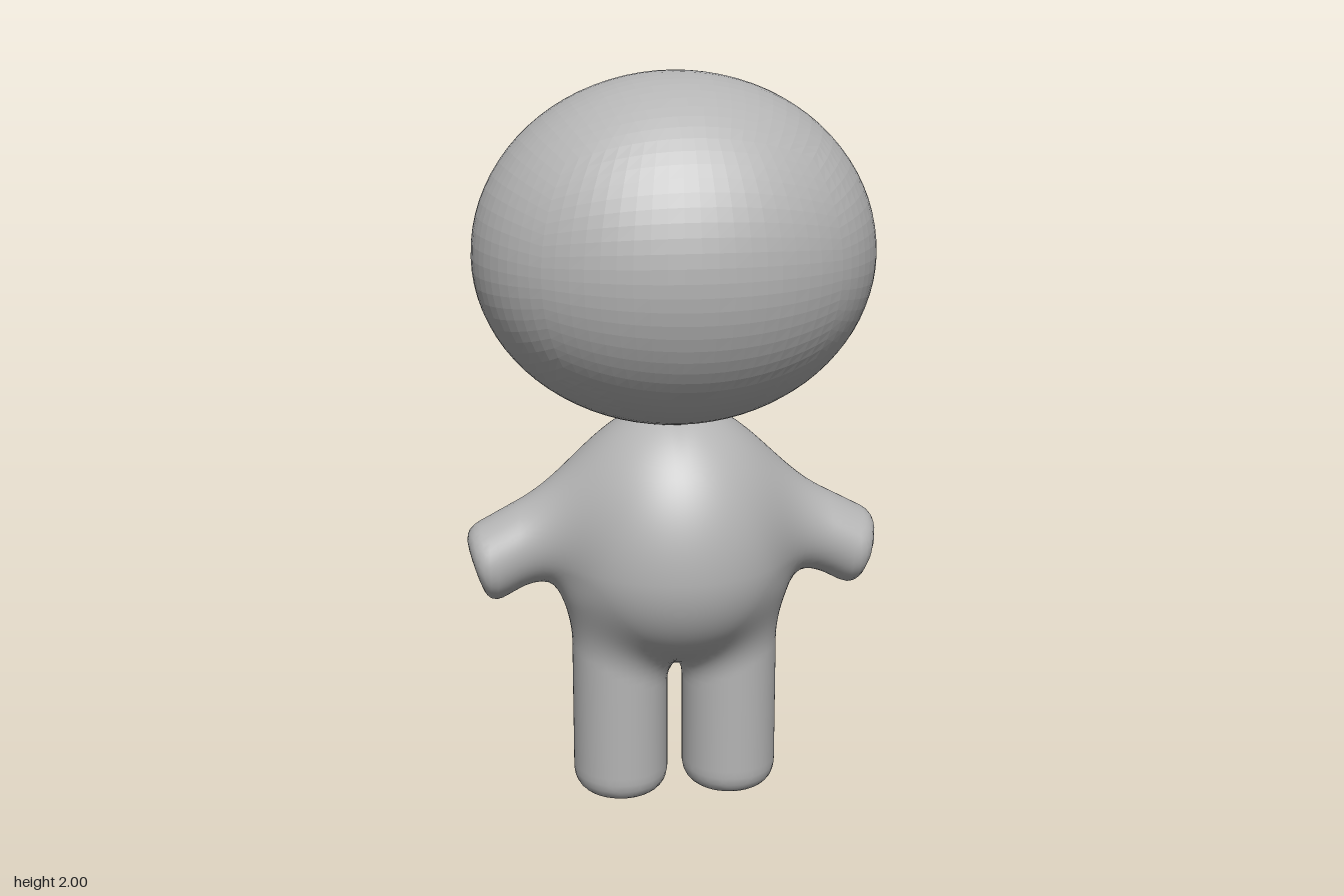
import * as THREE from 'three';

const grey = new THREE.MeshStandardMaterial({ color: 0xb4b4b4 });
grey.name = 'plainGrey';

// Smooth union / intersection of two distances
function smoothMin(a, b, k) {
  const h = Math.max(k - Math.abs(a - b), 0) / k;
  return Math.min(a, b) - h * h * k * 0.25;
}
const smoothMax = (a, b, k) => -smoothMin(-a, -b, k);

// Belly: an upright egg, flatter below than above
function torso(x, y, z) {
  const rx = 0.315, rz = 0.307, ry = y > 0.7 ? 0.41 : 0.3, dy = y - 0.7;
  const k0 = Math.hypot(x / rx, dy / ry, z / rz);
  const k1 = Math.hypot(x / rx ** 2, dy / ry ** 2, z / rz ** 2);
  return k1 < 1e-6 ? -0.3 : k0 * (k0 - 1) / k1;
}

// Arm: slanting rod cut off flat at the wrist
function arm(x, y, z) {
  const side = Math.hypot(0.47 * x + 0.883 * y - 0.841, (z + 0.032) * 0.93) - 0.107;
  const wrist = 0.95 * (x - 0.545) - 0.31 * (y - 0.665);
  const root = 0.1 - x;
  return smoothMax(smoothMax(side, wrist, 0.05), root, 0.05);
}

// Leg: upright rod with a softly rounded sole
function leg(x, y, z) {
  const side = Math.hypot(x - 0.154, z * 0.94) - 0.132;
  return smoothMax(smoothMax(side, -y, 0.07), y - 0.6, 0.05);
}

function bodyDistance(px, y, z) {
  const x = Math.abs(px);
  const upper = smoothMin(torso(x, y, z), arm(x, y, z), 0.13);
  return smoothMin(upper, leg(x, y, z), 0.08);
}

function gradient(f, x, y, z) {
  const e = 0.002;
  return new THREE.Vector3(
    f(x + e, y, z) - f(x - e, y, z),
    f(x, y + e, z) - f(x, y - e, z),
    f(x, y, z + e) - f(x, y, z - e)).divideScalar(2 * e);
}

// Quad skin around a distance function: one vertex per crossed grid cell
function skin(f, min, size, cell) {
  const n = size.map((s) => Math.ceil(s / cell) + 1);
  const id = (i, j, k) => i + n[0] * (j + n[1] * k);
  const at = (i, j, k) => [min[0] + i * cell, min[1] + j * cell, min[2] + k * cell];
  const value = new Float32Array(n[0] * n[1] * n[2]);
  const each = (a, fn) => {
    for (let k = a; k < n[2] - 1; k++)
      for (let j = a; j < n[1] - 1; j++)
        for (let i = a; i < n[0] - 1; i++) fn(i, j, k);
  };
  for (let k = 0; k < n[2]; k++)
    for (let j = 0; j < n[1]; j++)
      for (let i = 0; i < n[0]; i++) value[id(i, j, k)] = f(...at(i, j, k));

  const vertexOf = new Map(), positions = [], normals = [], index = [];
  each(0, (i, j, k) => {
    const sum = new THREE.Vector3();
    let count = 0;
    for (let c = 0; c < 8; c++) {
      const a = [i + (c & 1), j + ((c >> 1) & 1), k + (c >> 2)];
      for (let axis = 0; axis < 3; axis++) {
        if (c & (1 << axis)) continue;
        const b = a.slice();
        b[axis]++;
        const va = value[id(...a)], vb = value[id(...b)];
        if ((va < 0) === (vb < 0)) continue;
        const p = at(...a);
        p[axis] += cell * va / (va - vb);
        sum.add(new THREE.Vector3(...p));
        count++;
      }
    }
    if (!count) return;
    const p = sum.divideScalar(count);
    // Pull the vertex onto the surface
    for (let s = 0; s < 3; s++) {
      const g = gradient(f, p.x, p.y, p.z);
      const step = f(p.x, p.y, p.z) / Math.max(g.lengthSq(), 0.25);
      p.addScaledVector(g, -THREE.MathUtils.clamp(step, -cell / 2, cell / 2));
    }
    vertexOf.set(id(i, j, k), positions.length / 3);
    positions.push(p.x, p.y, p.z);
    normals.push(...gradient(f, p.x, p.y, p.z).normalize().toArray());
  });

  // One quad around every grid edge that crosses the surface
  each(1, (i, j, k) => {
    for (let axis = 0; axis < 3; axis++) {
      const end = [i, j, k];
      end[axis]++;
      const inside = value[id(i, j, k)] < 0;
      if (inside === (value[id(...end)] < 0)) continue;
      const u = (axis + 1) % 3, v = (axis + 2) % 3;
      const q = [[1, 1], [0, 1], [0, 0], [1, 0]].map(([du, dv]) => {
        const c = [i, j, k];
        c[u] -= du;
        c[v] -= dv;
        return vertexOf.get(id(...c));
      });
      if (!inside) q.reverse();
      index.push(q[0], q[1], q[2], q[0], q[2], q[3]);
    }
  });
  const geometry = new THREE.BufferGeometry();
  geometry.setAttribute('position', new THREE.Float32BufferAttribute(positions, 3));
  geometry.setAttribute('normal', new THREE.Float32BufferAttribute(normals, 3));
  geometry.setIndex(index);
  return geometry;
}

// Head: a box of even quads puffed out to an ellipsoid, finely faceted
function headGeometry() {
  const box = new THREE.BoxGeometry(2, 2, 2, 20, 20, 20);
  const pos = box.attributes.position, p = new THREE.Vector3();
  for (let i = 0; i < pos.count; i++) {
    p.fromBufferAttribute(pos, i);
    p.set(...p.toArray().map((c) => Math.tan(c * Math.PI / 4))).normalize();
    pos.setXYZ(i, p.x * 0.536, p.y * (p.y > 0 ? 0.475 : 0.455), p.z * 0.457);
  }
  const geometry = box.toNonIndexed();
  geometry.computeVertexNormals();
  return geometry;
}

export function createModel() {
  const model = new THREE.Group();
  model.name = 'bigHeadedFigure';

  const head = new THREE.Mesh(headGeometry(), grey);
  head.name = 'head';
  head.position.y = 1.525;

  // Torso, arms and legs flow together as one skin
  const body = new THREE.Mesh(skin(bodyDistance, [-0.66, -0.05, -0.37], [1.32, 1.24, 0.74], 0.02), grey);
  body.name = 'body';

  model.add(head, body);
  return model;
}
